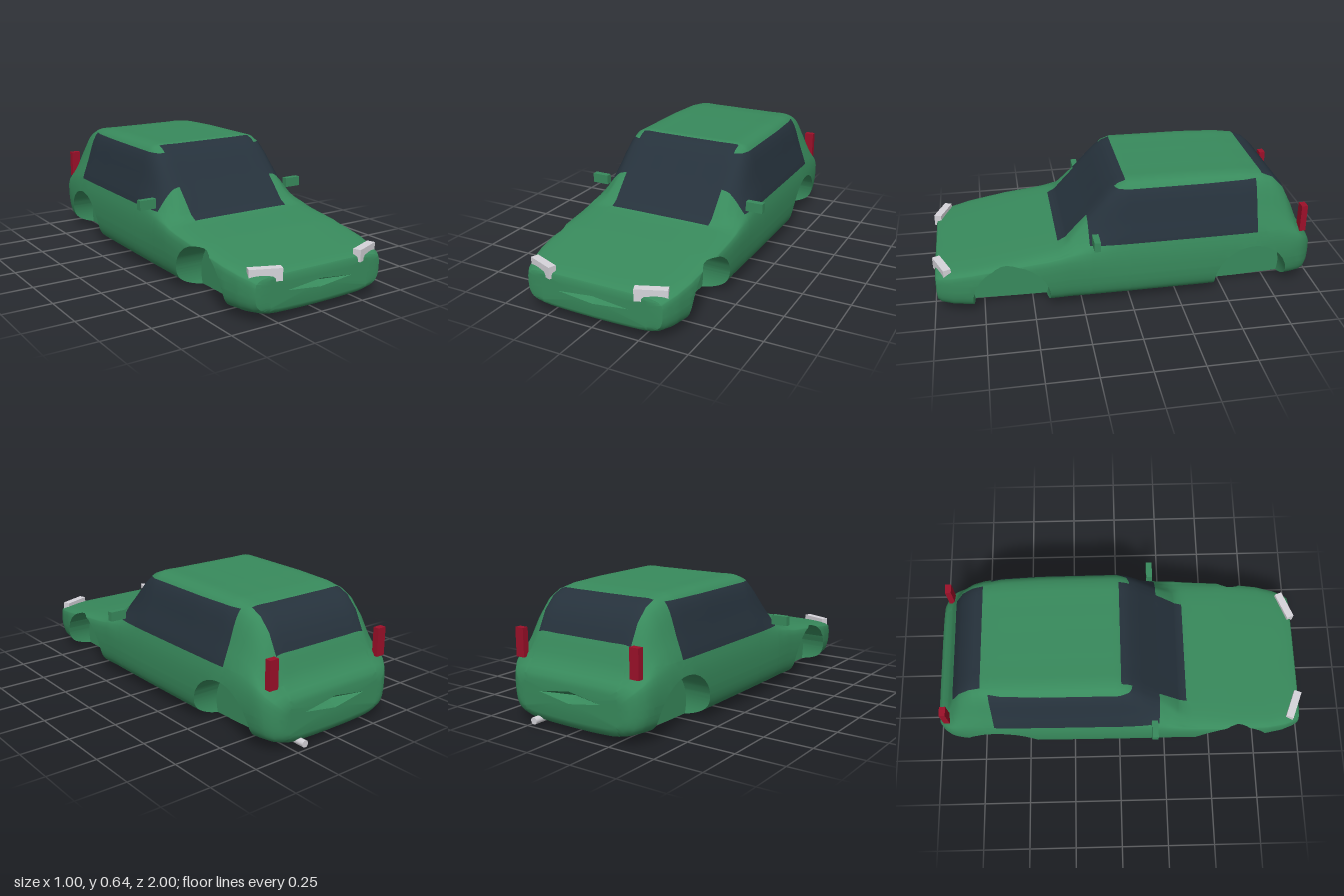
import * as THREE from 'three';
import { toCreasedNormals } from 'three/addons/utils/BufferGeometryUtils.js';

const mat = (name, color) => Object.assign(new THREE.MeshStandardMaterial({ color }), { name });

// Body stations: z, bottom, shoulder height, top, half width, half width of the top
const STATIONS = [
  [0.985, 0.06, 0.19, 0.212, 0.335, 0.31], [0.98, 0.045, 0.195, 0.222, 0.36, 0.335],
  [0.96, 0.03, 0.205, 0.23, 0.372, 0.345], [0.9, 0.02, 0.217, 0.242, 0.395, 0.37],
  [0.8, 0.013, 0.235, 0.258, 0.415, 0.39], [0.6, 0.008, 0.265, 0.29, 0.428, 0.4],
  [0.42, 0.005, 0.285, 0.313, 0.43, 0.395], [0.36, 0.004, 0.295, 0.322, 0.43, 0.39],
  [0.32, 0.004, 0.305, 0.343, 0.43, 0.375], [0.2, 0.003, 0.315, 0.47, 0.43, 0.347],
  [0.1, 0.003, 0.315, 0.582, 0.43, 0.337], [0.05, 0.003, 0.315, 0.625, 0.43, 0.335],
  [0, 0.003, 0.315, 0.644, 0.43, 0.335], [-0.4, 0.003, 0.315, 0.642, 0.427, 0.335],
  [-0.6, 0.006, 0.315, 0.636, 0.425, 0.33], [-0.7, 0.01, 0.315, 0.624, 0.42, 0.322],
  [-0.76, 0.012, 0.315, 0.6, 0.416, 0.316], [-0.82, 0.015, 0.31, 0.54, 0.41, 0.312],
  [-0.87, 0.018, 0.305, 0.44, 0.403, 0.315], [-0.9, 0.02, 0.295, 0.36, 0.395, 0.33],
  [-0.92, 0.022, 0.28, 0.315, 0.387, 0.345], [-0.95, 0.028, 0.255, 0.285, 0.365, 0.335],
  [-0.97, 0.05, 0.23, 0.26, 0.34, 0.31], [-0.977, 0.07, 0.2, 0.235, 0.31, 0.28],
];
const ARCHES = [0.61, -0.64], ARCH_Y = 0.08, ARCH_R = 0.195, INNER = 0.28;
// Lozenge recesses in the nose and tail: end, height, half height, depth
const RECESSES = [{ end: 1, y: 0.14, h: 0.02, depth: 0.04 }, { end: -1, y: 0.18, h: 0.03, depth: 0.05 }];
const lozenge = (p, r) => (p[2] * r.end > 0.97 ? Math.abs(p[0]) / 0.19 + Math.abs(p[1] - r.y) / r.h - 1 : 1);

// Closed cross-section ring, counterclockwise seen from the front
function ring([z, b, s, t, w, wt]) {
  const k = Math.min(1, (s - b) / 0.3), r = Math.min(0.035, (t - s) * 0.4);
  const pts = [
    [0, b], [0.45 * w, b + 0.003], [0.75 * w, b + 0.018 * k], [0.94 * w, b + 0.06 * k], [w, b + 0.13 * k],
    [w, s], [(w + wt) / 2 + 0.004, (s + t - r) / 2], [wt, t - r], [wt - 0.04, t - 0.004], [wt * 0.5, t], [0, t],
  ];
  const half = new THREE.CatmullRomCurve3(pts.map(([x, y]) => new THREE.Vector3(x, y, z)))
    .getPoints(40).map((p) => [p.x, p.y, p.z]);
  half[0][0] = half[40][0] = 0;
  return [...half, ...half.slice(1, -1).reverse().map(([x, y]) => [-x, y, z])];
}

// Cut triangles along f = 0; new corners remember whether they lie on an arch rim
function split(tris, f, rim = false) {
  return tris.flatMap((t) => {
    const d = t.map((p) => { const v = f(p); return Math.abs(v) < 1e-7 ? 0 : v; });
    if (d.every((v) => v >= 0) || d.every((v) => v <= 0)) return [t];
    const sides = [[], []];
    t.forEach((p, i) => {
      const q = t[(i + 1) % 3], e = d[(i + 1) % 3];
      if (d[i] >= 0) sides[0].push(p);
      if (d[i] <= 0) sides[1].push(p);
      if (d[i] * e < 0) {
        const m = p.map((v, n) => v + (q[n] - v) * d[i] / (d[i] - e));
        m.rim = rim;
        sides.forEach((side) => side.push(m));
      }
    });
    return sides.flatMap((s) => s.slice(2).map((p, i) => [s[0], s[i + 1], p]));
  });
}

function bodyShell() {
  // Loft, with each end closed to a centre point
  const rings = [];
  STATIONS.forEach((a, i) => {
    const next = STATIONS[i + 1];
    if (!next) return rings.push(ring(a));
    const n = Math.ceil((a[0] - next[0]) / 0.03);
    for (let k = 0; k < n; k++) rings.push(ring(a.map((v, j) => v + (next[j] - v) * k / n)));
  });
  const count = rings[0].length;
  rings.unshift(rings[0].map(() => [0, 0.14, 0.987]));
  rings.push(rings[1].map(() => [0, 0.16, -0.979]));
  let tris = [];
  for (let i = 0; i < rings.length - 1; i++) for (let j = 0; j < count; j++) {
    const n = (j + 1) % count, [a, b, c, d] = [rings[i][j], rings[i][n], rings[i + 1][j], rings[i + 1][n]];
    if (i > 0) tris.push([a, c, b]);
    if (i < rings.length - 2) tris.push([b, c, d]);
  }

  // Cut along window borders, recess borders and wheel arches
  for (const x of [INNER, -INNER]) tris = split(tris, (p) => p[0] - x);
  for (const y of [0.35, 0.61, ...RECESSES.map((r) => r.y)]) tris = split(tris, (p) => p[1] - y);
  for (const z of [0.36, 0.21, 0.01, -0.66, -0.7, -0.87]) tris = split(tris, (p) => p[2] - z);
  for (const r of RECESSES) tris = split(tris, (p) => lozenge(p, r));
  const arch = (p, z) => Math.hypot(p[2] - z, p[1] - ARCH_Y) - ARCH_R;
  for (const z of ARCHES) tris = split(tris, (p) => arch(p, z), true);

  const paint = [], glass = [];
  for (const t of tris) {
    const c = [0, 1, 2].map((n) => (t[0][n] + t[1][n] + t[2][n]) / 3);
    const [x, y, z] = [Math.abs(c[0]), c[1], c[2]];
    if (x > INNER && ARCHES.some((az) => arch(c, az) < 0)) {
      // Push the arch area inwards and wall its rim
      const flat = t.map((p) => [Math.sign(c[0]) * INNER, p[1], p[2]]);
      paint.push(flat);
      t.forEach((p, i) => {
        const j = (i + 1) % 3;
        if (p.rim && t[j].rim) paint.push([p, t[j], flat[j]], [p, flat[j], flat[i]]);
      });
      continue;
    }
    const side = z < 0.21 && z > -0.66 && y > 0.35 && y < 0.61;
    const front = x < INNER && z > 0.01 && z < 0.36 && y > 0.3;
    const rear = x < INNER && z < -0.7 && z > -0.87 && y > 0.4;
    if (side || front || rear) glass.push(t);
    else paint.push(t.map((p) => {
      const inset = RECESSES.reduce((s, r) => s + r.end * r.depth * Math.max(0, -lozenge(p, r)), 0);
      return [p[0], p[1], p[2] - inset];
    }));
  }

  // Drop empty slivers, then one geometry with a paint and a glass group
  const tri = new THREE.Triangle(), v = (p) => new THREE.Vector3(...p);
  const solid = (list) => list.filter((t) => tri.set(...t.map(v)).getArea() > 1e-9);
  const a = solid(paint), b = solid(glass);
  const geo = new THREE.BufferGeometry();
  geo.setAttribute('position', new THREE.Float32BufferAttribute([...a, ...b].flat(2), 3));
  geo.scale(100, 100, 100); // keeps close corners apart while normals are made
  const out = toCreasedNormals(geo, 0.7);
  out.scale(0.01, 0.01, 0.01);
  out.clearGroups();
  out.addGroup(0, a.length * 3, 0);
  out.addGroup(a.length * 3, b.length * 3, 1);
  return out;
}

export function createModel() {
  const car = new THREE.Group();
  car.name = 'car';
  const green = mat('greenPaint', 0x388a5c), dark = mat('darkGlass', 0x26323c);
  const red = mat('redLens', 0x9c1029), pale = mat('paleLens', 0xd6d4da);
  green.side = THREE.DoubleSide;

  const add = (name, geo, material, x, y, z, turn = 0) => {
    const m = new THREE.Mesh(geo, material);
    m.name = name;
    m.position.set(x, y, z);
    m.rotation.y = turn;
    car.add(m);
    return m;
  };
  add('bodyAndWindows', bodyShell(), [green, dark], 0, 0, 0);

  // Paired fittings
  for (const [s, label] of [[1, 'left'], [-1, 'right']]) {
    add(label + 'Headlight', new THREE.BoxGeometry(0.155, 0.06, 0.04), pale, s * 0.292, 0.225, 0.95, s * 0.38);
    add(label + 'TailLight', new THREE.BoxGeometry(0.05, 0.145, 0.032), red, s * 0.347, 0.383, -0.918);
    add(label + 'Mirror', new THREE.BoxGeometry(0.09, 0.05, 0.032), green, s * 0.455, 0.39, 0.183);
  }
  // Exhaust
  const pipe = add('exhaustPipe', new THREE.CylinderGeometry(0.018, 0.018, 0.08, 16), pale, 0.207, 0.034, -0.96);
  pipe.rotation.x = Math.PI / 2;
  return car;
}
